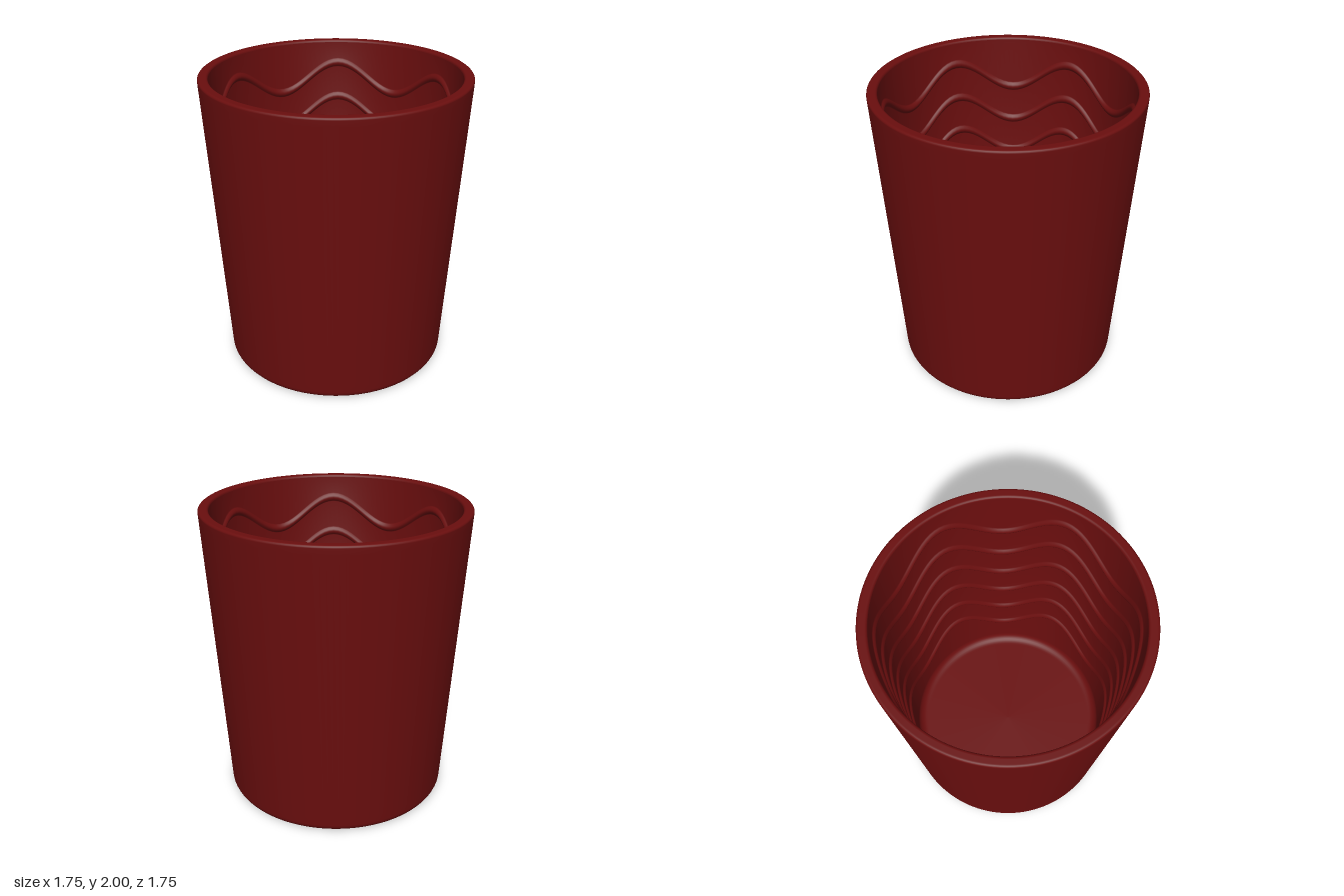
import * as THREE from 'three';
import { mergeVertices } from 'three/addons/utils/BufferGeometryUtils.js';

const SEGMENTS = 144;
const FLOOR = 0.1;
const innerRadius = (y) => 0.81 - 0.06 * (2 - y);

// Quarter-round profile points about a centre, in radians
function arc(cx, cy, r, from, to, steps = 6) {
  return Array.from({ length: steps + 1 }, (_, i) => {
    const a = from + ((to - from) * i) / steps;
    return new THREE.Vector2(cx + r * Math.cos(a), cy + r * Math.sin(a));
  });
}

// Base, tapered outside wall and rounded rim
function outerShell() {
  const H = Math.PI / 2;
  const profile = [
    new THREE.Vector2(0, 0),
    new THREE.Vector2(0.7, 0),
    ...arc(0.705, 0.05, 0.05, -H, 0),
    new THREE.Vector2(0.758, 0.1),
    new THREE.Vector2(0.874, 1.95),
    ...arc(0.861, 1.985, 0.015, 0, H, 4),
    new THREE.Vector2(0.857, 2),
    new THREE.Vector2(0.828, 2),
    ...arc(0.824, 1.985, 0.015, H, 2 * H, 4),
  ];
  return new THREE.LatheGeometry(profile, SEGMENTS);
}

// Inside wall with wavy raised ribs, curving into a flat floor
function innerLiner() {
  const profile = [new THREE.Vector2(0.809, 1.985), new THREE.Vector2(0.808, 1.96)];
  const ribs = 6, halfWidth = 0.032, height = 0.018;
  for (let k = 0; k < ribs; k++) {
    const mid = 1.74 - 0.25 * k;
    for (let i = -5; i <= 5; i++) {
      const y = mid - (i / 5) * halfWidth;
      const bump = height * Math.cos((i / 5) * Math.PI / 2);
      profile.push(new THREE.Vector2(innerRadius(y) - bump, y));
    }
  }
  const fillet = 0.065;
  profile.push(...arc(innerRadius(FLOOR + fillet) - fillet, FLOOR + fillet, fillet, 0, -Math.PI / 2, 8));
  profile.push(new THREE.Vector2(0.62, FLOOR), new THREE.Vector2(0, FLOOR));

  const geometry = new THREE.LatheGeometry(profile, SEGMENTS);
  const p = geometry.attributes.position;
  // Slide the rows up and down in six waves, keeping the wall's taper
  for (let i = 0; i < p.count; i++) {
    const x = p.getX(i), y = p.getY(i), z = p.getZ(i);
    if (y < 0.3 || y > 1.9) continue;
    const shift = 0.1 * Math.cos(6 * Math.atan2(z, x));
    const r = Math.hypot(x, z);
    const s = (r + 0.06 * shift) / r;
    p.setXYZ(i, x * s, y + shift, z * s);
  }
  geometry.deleteAttribute('uv');
  geometry.deleteAttribute('normal');
  const welded = mergeVertices(geometry, 1e-5);
  welded.computeVertexNormals();
  return welded;
}

export function createModel() {
  const group = new THREE.Group();
  group.name = 'cup';
  const material = new THREE.MeshStandardMaterial({ color: 0x6a0e0e });
  const parts = { outerShell: outerShell(), ribbedInside: innerLiner() };
  for (const [name, geometry] of Object.entries(parts)) {
    const mesh = new THREE.Mesh(geometry, material);
    mesh.name = name;
    group.add(mesh);
  }
  return group;
}
